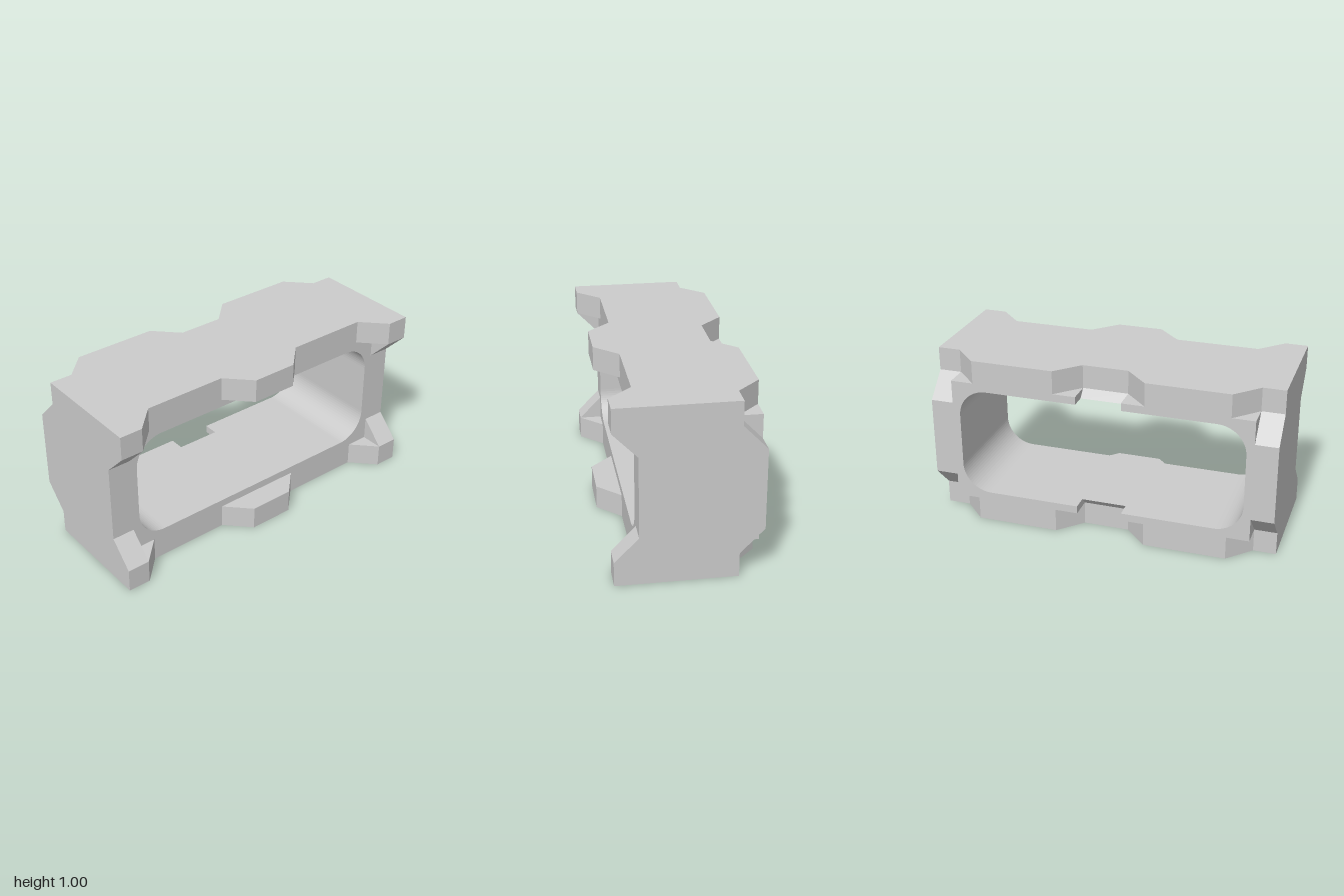
import * as THREE from 'three';

const TAB = 0.397, FACE = 0.264;          // z of the raised tabs and of the recessed face
const H1 = 0.136, H2 = 0.272;             // tab height, foot of the vertical slope
const X = [0.131, 0.263, 0.739, 0.87];    // middle tab, slope feet, corner tab
const HOLE_X = 0.828, HOLE_Y = 0.181, R = 0.165;

const material = new THREE.MeshStandardMaterial({ color: 0xcccccc, flatShading: true });

const shapeOf = (points) => new THREE.Shape(points.map(([a, b]) => new THREE.Vector2(a, b)));
const extrude = (shape, depth) =>
  new THREE.ExtrudeGeometry(shape, { depth, bevelEnabled: false, curveSegments: 9 });

function part(name, geometry) {
  const mesh = new THREE.Mesh(geometry, material);
  mesh.name = name;
  return mesh;
}

// Extrude a (z, y) profile along x
const alongX = (points, x0, x1) =>
  extrude(shapeOf(points.map(([z, y]) => [-z, y])), x1 - x0).rotateY(Math.PI / 2).translate(x0, 0, 0);

// Top rail: front tabs and matching back notches share one plan outline
function railGeometry() {
  const edge = [[X[0], TAB], [X[1], FACE], [X[2], FACE], [X[3], TAB], [1, TAB]];
  const front = [...edge.map(([x, z]) => [-x, z]).reverse(), ...edge];
  const back = front.map(([x, z]) => [x, z - TAB - FACE]).reverse();
  return extrude(shapeOf([...front, ...back]), H1).rotateX(Math.PI / 2).translate(0, 1, 0);
}

// Outer strip of the end wall, with the slopes below and above the corner tabs
function endStripGeometry() {
  const front = [[TAB, H1], [FACE, H2], [FACE, 1 - H2], [TAB, 1 - H1]];
  const back = front.map(([z, y]) => [z - TAB - FACE, y]).reverse();
  return alongX([...front, ...back], X[3], 1);
}

// C-shaped half of the frame around the rounded opening
function frameGeometry() {
  const s = shapeOf([[X[0], H1], [X[3], H1], [X[3], 1 - H1], [X[0], 1 - H1], [X[0], 1 - HOLE_Y]]);
  const cx = HOLE_X - R;
  s.lineTo(cx, 1 - HOLE_Y);
  s.absarc(cx, 1 - HOLE_Y - R, R, Math.PI / 2, 0, true);
  s.absarc(cx, HOLE_Y + R, R, 0, -Math.PI / 2, true);
  s.lineTo(X[0], HOLE_Y);
  return extrude(s, TAB + FACE).translate(0, 0, -TAB);
}

// Lip joining the halves, sloped at the back inside the middle notch
function lipGeometry() {
  const y0 = 1 - HOLE_Y, y1 = 1 - H1;
  const zLow = -FACE - (y1 - y0) * (TAB - FACE) / (H2 - H1);
  return alongX([[FACE, y0], [FACE, y1], [-FACE, y1], [zLow, y0]], -X[0], X[0]);
}

export function createModel() {
  const model = new THREE.Group();
  model.name = 'interlockingFrameBlock';
  const pieces = {
    Rail: railGeometry(), EndStrip: endStripGeometry(),
    FrameHalf: frameGeometry(), MiddleLip: lipGeometry(),
  };
  // The block repeats itself after half a turn about its z axis
  ['first', 'second'].forEach((side, i) => {
    const half = new THREE.Group();
    half.name = side + 'Half';
    for (const [name, geometry] of Object.entries(pieces)) half.add(part(side + name, geometry));
    half.rotation.z = i * Math.PI;
    half.position.y = i;
    model.add(half);
  });
  return model;
}
